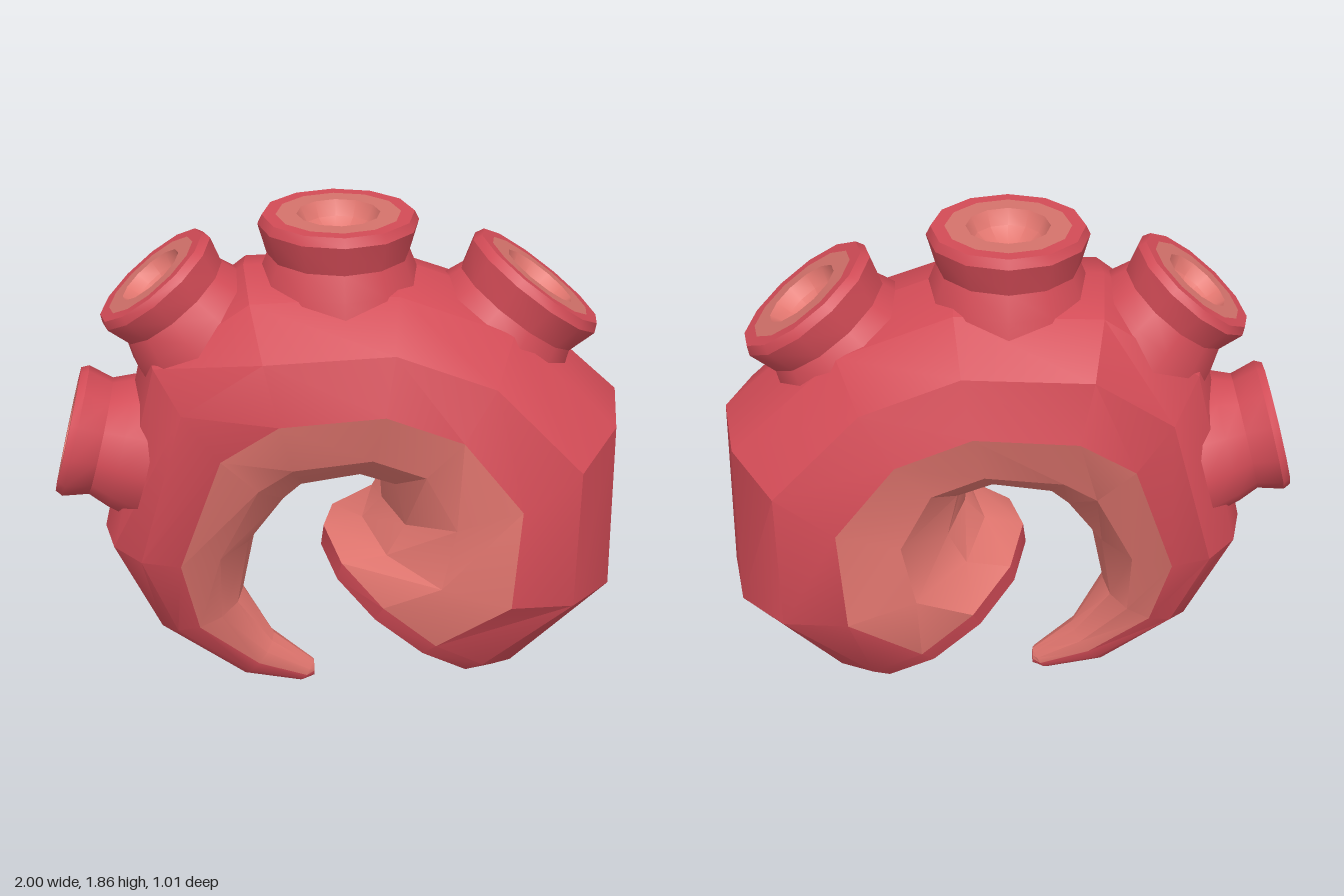
import * as THREE from 'three';
import { toCreasedNormals } from 'three/addons/utils/BufferGeometryUtils.js';

const SIDES = 12;

// Curled limb: each station gives centre x, y, outermost point x, y and half-width in z
const STATIONS = [
  [0.26, 0.365, 0.26, 0.365, 0],       // middle of the cut end
  [0.26, 0.365, 0.47, 0.215, 0.25],    // cut end inner disc
  [0.26, 0.365, 0.59, 0.13, 0.38],     // cut end rim
  [0.30, 0.42, 0.66, 0.16, 0.42],
  [0.54, 0.62, 1.00, 0.53, 0.505],
  [0.56, 0.99, 0.97, 1.19, 0.50],
  [0.36, 1.24, 0.58, 1.55, 0.475],
  [0.11, 1.33, 0.18, 1.70, 0.45],
  [-0.23, 1.31, -0.32, 1.69, 0.45],
  [-0.42, 1.16, -0.66, 1.45, 0.385],
  [-0.57, 0.72, -0.84, 0.72, 0.31],
  [-0.52, 0.38, -0.68, 0.33, 0.18],
  [-0.31, 0.14, -0.37, 0.06, 0.085],
  [-0.13, 0.045, -0.155, 0.003, 0.045],
  [-0.10, 0.05, -0.10, 0.018, 0.025],
  [-0.10, 0.05, -0.10, 0.05, 0],       // tip
];

function limbGeometry() {
  const positions = [], outer = [], under = [];
  for (const [cx, cy, ox, oy, w] of STATIONS) {
    for (let j = 0; j < SIDES; j++) {
      const a = (j / SIDES) * Math.PI * 2;
      positions.push(cx + (ox - cx) * Math.cos(a), cy + (oy - cy) * Math.cos(a), w * Math.sin(a));
    }
  }
  for (let i = 0; i < STATIONS.length - 1; i++) {
    for (let j = 0; j < SIDES; j++) {
      const k = (j + 1) % SIDES;
      const a = i * SIDES + j, b = a + SIDES, c = i * SIDES + k, d = c + SIDES;
      // inner half of the curl and the end disc take the pale colour
      const pale = i === 0 || (i >= 3 && j >= SIDES / 4 && j < SIDES * 3 / 4);
      const list = pale ? under : outer;
      if (i > 0) list.push(a, b, c);
      if (i < STATIONS.length - 2) list.push(b, d, c);
      else if (i === 0) list.push(b, d, c);
    }
  }
  const g = new THREE.BufferGeometry();
  g.setAttribute('position', new THREE.Float32BufferAttribute(positions, 3));
  g.setIndex([...outer, ...under]);
  g.addGroup(0, outer.length, 0);
  g.addGroup(outer.length, under.length, 1);
  return toCreasedNormals(g, Math.PI / 6);
}

// Lathe from [radius, height] pairs
function turned(points) {
  const g = new THREE.LatheGeometry(points.map(([r, y]) => new THREE.Vector2(r, y)), SIDES);
  return toCreasedNormals(g, 0.6);
}

export function createModel() {
  const red = new THREE.MeshStandardMaterial({ color: 0xd24b56 });
  const salmon = new THREE.MeshStandardMaterial({ color: 0xe2766f });
  const dustyPink = new THREE.MeshStandardMaterial({ color: 0xd4726b });
  red.name = 'red';
  salmon.name = 'salmon';
  dustyPink.name = 'dusty pink';

  const model = new THREE.Group();
  model.name = 'curledTentacle';

  const limb = new THREE.Mesh(limbGeometry(), [red, salmon]);
  limb.name = 'limb';
  model.add(limb);

  // Sucker parts, with the mouth at local y = 0
  const parts = [
    ['cup', red, turned([[0.30, -0.32], [0.27, -0.21], [0.237, -0.13], [0.265, -0.03], [0.25, 0], [0.205, 0]])],
    ['lip', dustyPink, turned([[0.205, 0], [0.137, 0]])],
    ['bowl', salmon, turned([[0.137, 0], [0.115, -0.05], [0.065, -0.09], [0, -0.105]])],
  ];

  // Mouth centre x, y, facing direction x, y and size
  const suckers = [
    [-0.94, 1.11, -0.96, 0.27, 0.87],
    [-0.625, 1.665, -0.61, 0.79, 0.88],
    [-0.005, 1.86, 0, 1, 1],
    [0.675, 1.62, 0.59, 0.81, 1],
  ];
  suckers.forEach(([x, y, dx, dy, size], n) => {
    const sucker = new THREE.Group();
    sucker.name = `sucker${n + 1}`;
    for (const [name, material, geometry] of parts) {
      const mesh = new THREE.Mesh(geometry, material);
      mesh.name = name;
      sucker.add(mesh);
    }
    sucker.position.set(x, y, 0);
    sucker.rotation.z = Math.atan2(-dx, dy);
    sucker.scale.setScalar(size);
    model.add(sucker);
  });

  return model;
}
